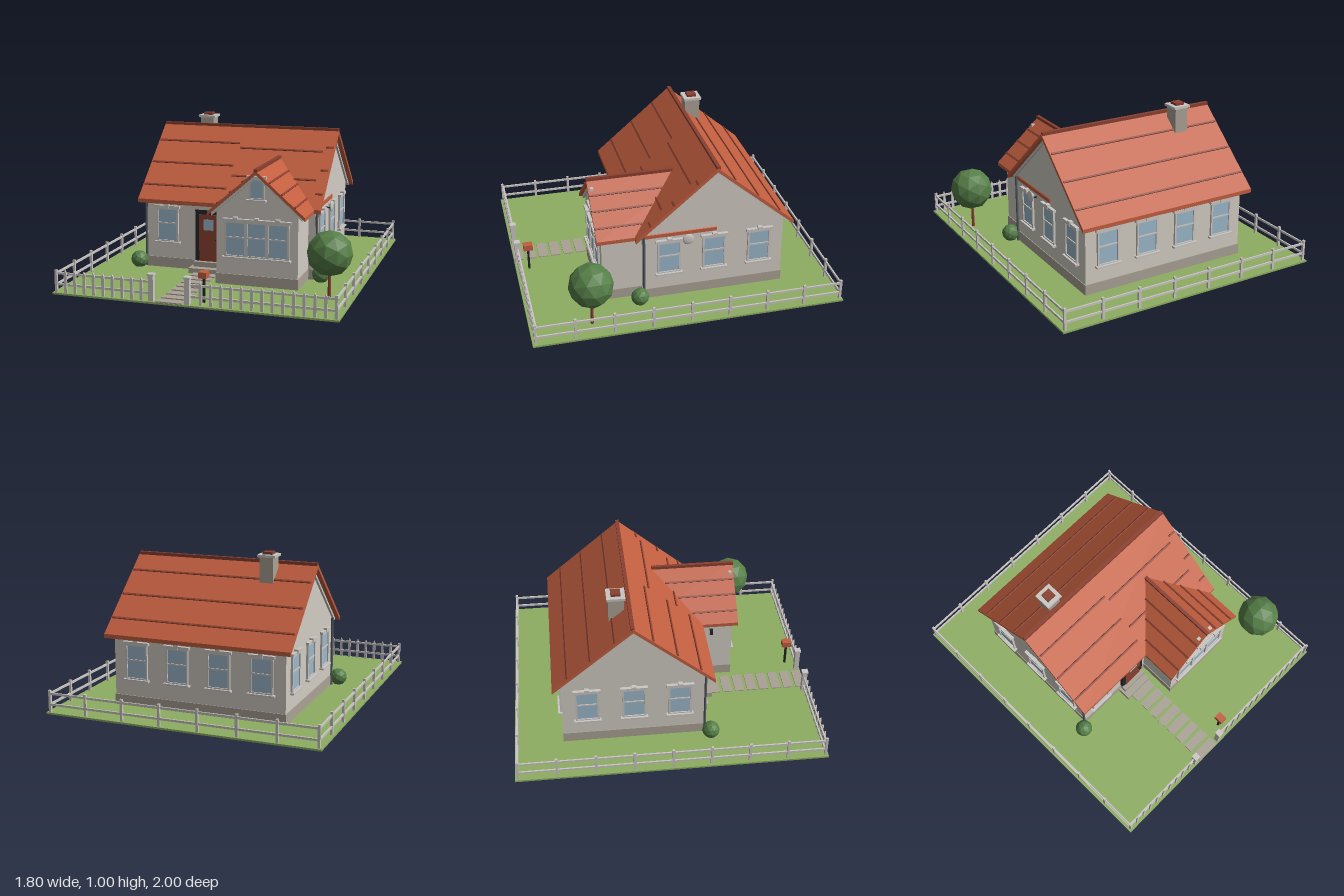
import * as THREE from 'three';

const mat = (name, color, flat = false) => {
  const m = new THREE.MeshStandardMaterial({ color, flatShading: flat });
  m.name = name;
  return m;
};

export function createModel() {
  const wall = mat('wall plaster', 0xd2cdc4);
  const stone = mat('stone', 0xaaa296);
  const trim = mat('pale trim', 0xcbc7c3);
  const roofRed = mat('roof tile', 0xc15e3f);
  const brown = mat('red brown', 0x8a4030);
  const glass = mat('window glass', 0x9cb8cb);
  const dark = mat('black metal', 0x22262a);
  const pipe = mat('slate pipe', 0x555d64);
  const grass = mat('grass', 0x8eae63);
  const leaf = mat('foliage', 0x567f48, true);

  const model = new THREE.Group();
  model.name = 'cottage';
  const add = (name, geo, m, x = 0, y = 0, z = 0, parent = model) => {
    const mesh = new THREE.Mesh(geo, m);
    mesh.name = name;
    mesh.position.set(x, y, z);
    parent.add(mesh);
    return mesh;
  };
  const box = (name, m, w, h, d, x, y, z, parent) =>
    add(name, new THREE.BoxGeometry(w, h, d), m, x, y, z, parent);
  const group = (name, x = 0, y = 0, z = 0, parent = model) => {
    const g = new THREE.Group();
    g.name = name;
    g.position.set(x, y, z);
    parent.add(g);
    return g;
  };
  // Extruded profile, from depth 0 to len along +z
  const prism = (pts, len) => new THREE.ExtrudeGeometry(
    new THREE.Shape(pts.map(p => new THREE.Vector2(...p))), { depth: len, bevelEnabled: false });
  const gablePts = (half, base, peak, slope) =>
    [[-half, base], [half, base], [half, peak - slope * half], [0, peak], [-half, peak - slope * half]];
  const chevronPts = (half, peak, slope, t) => {
    const e = peak - slope * half;
    return [[-half, e - t], [0, peak - t], [half, e - t], [half, e], [0, peak], [-half, e]];
  };

  // Garden
  box('lawn', grass, 1.8, 0.012, 2, 0, 0.006, 0);
  for (let i = 0; i < 8; i++)
    box('pathSlab', stone, 0.165, 0.008, 0.064, -0.133, 0.015, 0.37 + i * 0.085);

  // Main house: gable runs along x
  const S = 0.854, RZ = -0.22;
  const alongX = (pts, len) => prism(pts, len).translate(0, 0, -len / 2).rotateY(Math.PI / 2);
  add('mainWalls', alongX(gablePts(0.46, 0.07, 0.9, S), 1.15), wall, 0, 0, RZ);
  box('mainFoundation', stone, 1.16, 0.07, 0.93, 0, 0.045, RZ);
  add('mainRoof', alongX(chevronPts(0.515, 0.922, S, 0.026), 1.24), roofRed, 0, 0, RZ);
  for (const s of [-1, 1])
    add('bargeBoard', alongX(chevronPts(0.49, 0.897, S, 0.022), 0.014), trim, s * 0.584, 0, RZ);
  box('mainRidge', brown, 1.236, 0.02, 0.024, 0, 0.923, RZ - 0.004);

  // Tile courses on the main roof
  const course = (x0, x1, z) => {
    const b = box('tileCourse', brown, x1 - x0, 0.014, 0.012, (x0 + x1) / 2,
      0.922 - S * Math.abs(z - RZ), z);
    b.rotation.x = Math.sign(z - RZ) * Math.atan(S);
  };
  for (const z of [-0.635, -0.487, -0.333]) course(-0.612, 0.612, z);
  for (const z of [-0.1, 0.05, 0.2]) {
    course(-0.612, -0.035, z);
    course(0.562, 0.612, z);
  }
  for (const z of [-0.07, 0.115]) course(-0.025, 0.545, z);

  // Front wing: gable runs along z
  const W = 0.87, WX = 0.265;
  add('wingWalls', prism(gablePts(0.265, 0.07, 0.733, W), 0.4), wall, WX, 0, 0.1);
  box('wingFoundation', stone, 0.54, 0.07, 0.4, WX, 0.045, 0.306);
  add('wingRoof', prism(chevronPts(0.315, 0.755, W, 0.024), 0.77), roofRed, WX, 0, -0.235);
  add('wingBargeBoard', prism(chevronPts(0.295, 0.732, W, 0.024), 0.014), trim, WX, 0, 0.5);
  box('wingRidge', brown, 0.022, 0.02, 0.56, WX, 0.756, 0.258);
  for (const s of [-1, 1]) for (const d of [0.085, 0.165, 0.25]) {
    const y = 0.755 - W * d;
    const z0 = RZ + (0.922 - y) / S; // where the course meets the main roof
    const b = box('wingTileCourse', brown, 0.012, 0.014, 0.533 - z0, WX + s * d, y, (0.533 + z0) / 2);
    b.rotation.z = -s * Math.atan(W);
  }

  // Windows: glass, frame, bars, sill and lintel, facing +z
  const windowAt = (x, y, z, turn = 0, w = 0.14, h = 0.22, panes = 1, fancy = true) => {
    const g = group('window', x, y, z);
    g.rotation.y = turn;
    box('glass', glass, w, h, 0.006, 0, 0, 0.003, g);
    for (const s of [-1, 1]) {
      box('frameSide', trim, 0.012, h + 0.012, 0.014, s * w / 2, 0, 0.007, g);
      box('frameRail', trim, w, 0.012, 0.014, 0, s * h / 2, 0.007, g);
    }
    if (fancy) box('crossBar', trim, w, 0.009, 0.012, 0, 0.012, 0.006, g);
    for (let i = 1; i < panes; i++)
      box('mullion', trim, 0.022, h, 0.016, -w / 2 + i * w / panes, 0, 0.008, g);
    box('sill', trim, w + 0.036, 0.012, 0.028, 0, -h / 2 - 0.008, 0.014, g);
    box('lintel', trim, w + 0.036, 0.018, 0.022, 0, h / 2 + 0.013, 0.011, g);
    if (fancy) for (let i = 0; i < panes; i++)
      box('keystone', trim, 0.03, 0.03, 0.026, -w / 2 + (i + 0.5) * w / panes, h / 2 + 0.019, 0.013, g);
  };
  windowAt(-0.43, 0.305, 0.24);
  windowAt(WX, 0.31, 0.5, 0, 0.41, 0.22, 3);
  windowAt(WX, 0.635, 0.5, 0, 0.09, 0.125, 1, false);
  for (const s of [-1, 1]) for (const z of [0.075, -0.22, -0.52])
    windowAt(s * 0.575, 0.305, z, s * Math.PI / 2);
  for (const x of [-0.42, -0.14, 0.14, 0.42]) windowAt(x, 0.305, -0.68, Math.PI);

  // Door, steps and porch lamp
  const door = group('frontDoor', -0.135, 0, 0.24);
  box('doorFrame', dark, 0.19, 0.345, 0.02, 0, 0.253, 0.01, door);
  box('doorLeaf', brown, 0.135, 0.315, 0.01, 0, 0.238, 0.02, door);
  box('doorGlass', glass, 0.068, 0.072, 0.006, 0, 0.327, 0.025, door);
  add('doorKnob', new THREE.SphereGeometry(0.007, 10, 8), dark, 0.05, 0.23, 0.03, door);
  box('doorLintel', trim, 0.235, 0.016, 0.04, 0, 0.446, 0.02, door);
  box('doorLintelBase', trim, 0.2, 0.012, 0.026, 0, 0.432, 0.013, door);
  box('lowerStep', stone, 0.205, 0.035, 0.1, -0.15, 0.029, 0.29);
  box('upperStep', stone, 0.19, 0.035, 0.055, -0.138, 0.063, 0.265);
  box('lampBody', dark, 0.022, 0.038, 0.022, -0.012, 0.387, 0.36);
  box('lampGlass', grass, 0.014, 0.022, 0.024, -0.012, 0.387, 0.36);

  // Chimney
  const chimney = group('chimney', -0.325, 0, -0.305);
  box('shaft', stone, 0.09, 0.25, 0.1, 0, 0.845, 0, chimney);
  box('cap', trim, 0.118, 0.016, 0.118, 0, 0.976, 0, chimney);
  box('pot', brown, 0.062, 0.016, 0.062, 0, 0.992, 0, chimney);

  // Downpipes and satellite dish
  for (const s of [-1, 1])
    add('downpipe', new THREE.CylinderGeometry(0.008, 0.008, 0.47, 10), pipe, s * 0.585, 0.247, 0.238);
  const dish = add('satelliteDish', new THREE.SphereGeometry(0.037, 18, 10), trim, 0.618, 0.443, -0.04);
  dish.scale.x = 0.25;
  box('dishArm', dark, 0.05, 0.008, 0.008, 0.595, 0.43, -0.04);

  // Fence rails, posts and pickets
  const fence = group('fence');
  for (const y of [0.06, 0.13]) {
    for (const s of [-1, 1]) box('sideRail', trim, 0.01, 0.014, 1.96, s * 0.88, y, 0, fence);
    box('backRail', trim, 1.76, 0.014, 0.01, 0, y, -0.98, fence);
    box('frontRail', trim, 0.62, 0.014, 0.01, -0.57, y, 0.972, fence);
    box('frontRail', trim, 0.88, 0.014, 0.01, 0.44, y, 0.972, fence);
  }
  for (let i = 0; i <= 8; i++) for (const s of [-1, 1])
    box('sidePost', trim, 0.016, 0.145, 0.016, s * 0.88, 0.08, -0.98 + i * 0.245, fence);
  for (let i = 1; i < 7; i++)
    box('backPost', trim, 0.016, 0.145, 0.016, -0.88 + i * 0.2514, 0.08, -0.98, fence);
  const picket = prism([[-0.009, 0.012], [0.009, 0.012], [0.009, 0.135], [0, 0.155], [-0.009, 0.135]], 0.01);
  for (let i = 0; i < 29; i++) {
    const x = -0.88 + i * 0.0629;
    if (x < -0.27 || x > 0.01) add('picket', picket, trim, x, 0, 0.976, fence);
  }
  for (const x of [-0.25, -0.02]) {
    box('gatePost', trim, 0.032, 0.16, 0.032, x, 0.09, 0.975, fence);
    box('gatePostCap', trim, 0.042, 0.012, 0.042, x, 0.176, 0.975, fence);
  }

  // Mailbox
  box('mailboxPost', dark, 0.014, 0.155, 0.014, 0.06, 0.088, 0.91);
  box('mailbox', roofRed, 0.05, 0.038, 0.06, 0.06, 0.185, 0.91);

  // Tree and bushes
  add('treeTrunk', new THREE.CylinderGeometry(0.008, 0.011, 0.2, 8), brown, 0.755, 0.11, 0.61);
  add('treeCrown', new THREE.IcosahedronGeometry(0.142, 1), leaf, 0.755, 0.295, 0.61);
  for (const s of [-1, 1])
    add('bush', new THREE.IcosahedronGeometry(0.058, 1), leaf, s * 0.625, 0.063, 0.275);

  return model;
}
